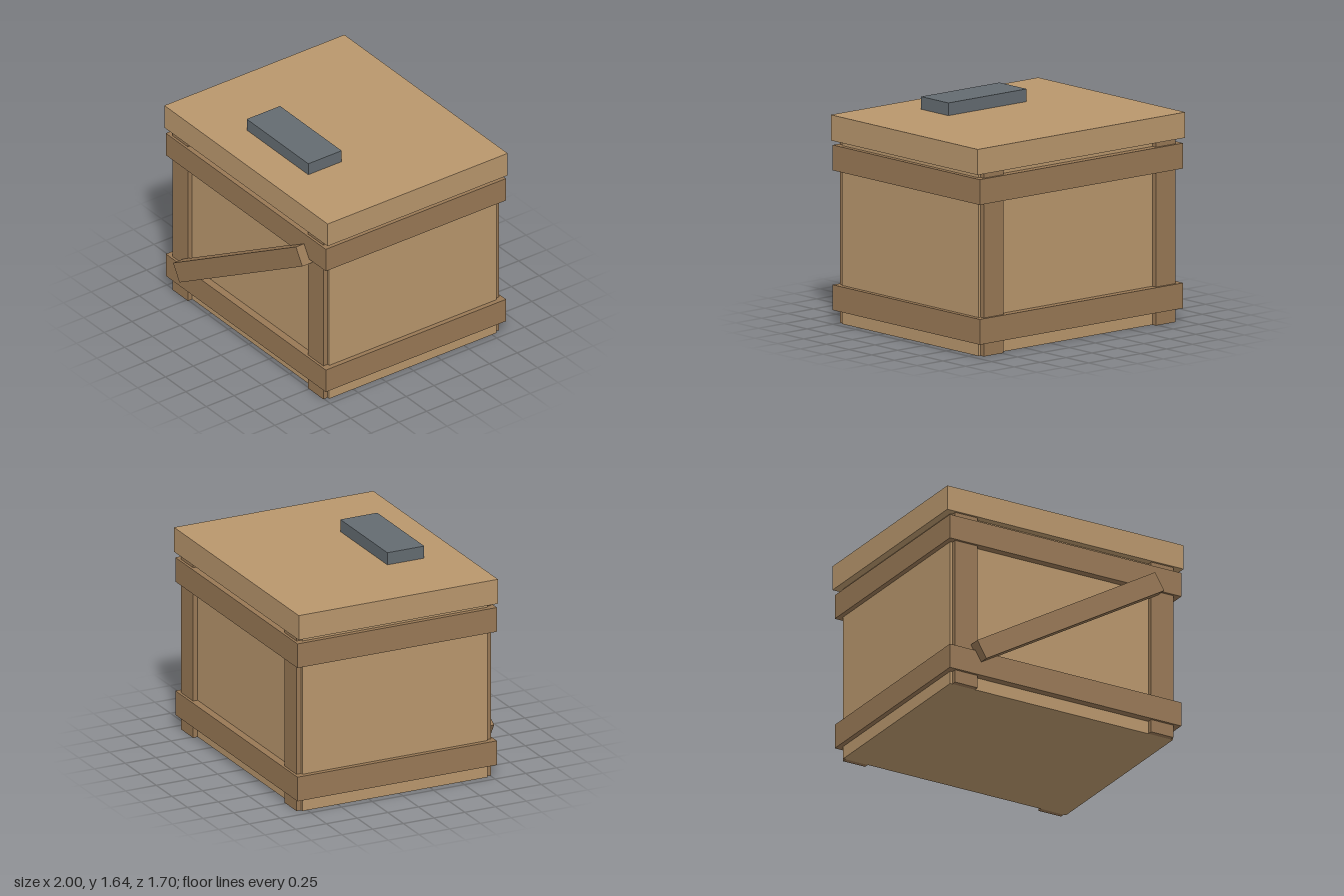
import * as THREE from 'three';

export function createModel() {
  const crate = new THREE.Group();
  crate.name = 'crate';
  const panelWood = new THREE.MeshStandardMaterial({ color: 0xb8966c });
  const frameWood = new THREE.MeshStandardMaterial({ color: 0x987855 });
  const metal = new THREE.MeshStandardMaterial({ color: 0x636b70 });

  // Box given by its lower and upper limits on each axis
  function box(name, material, [x0, x1], [y0, y1], [z0, z1]) {
    const mesh = new THREE.Mesh(new THREE.BoxGeometry(x1 - x0, y1 - y0, z1 - z0), material);
    mesh.position.set((x0 + x1) / 2, (y0 + y1) / 2, (z0 + z1) / 2);
    mesh.name = name;
    crate.add(mesh);
    return mesh;
  }

  // Body, lid and the grey plate on top
  box('body', panelWood, [-0.943, 0.943], [0, 1.36], [-0.79, 0.718]);
  box('lid', panelWood, [-1, 1], [1.36, 1.55], [-0.848, 0.774]);
  box('lidPlate', metal, [-0.377, 0.377], [1.55, 1.644], [0.19, 0.49]);

  // Corner posts on the front and back faces
  for (const [side, x] of [['right', [-0.924, -0.735]], ['left', [0.735, 0.924]]]) {
    box(`${side}FrontPost`, frameWood, x, [0, 1.36], [0.718, 0.757]);
    box(`${side}BackPost`, frameWood, x, [0, 1.36], [-0.828, -0.79]);
  }

  // Bands of four boards around the crate
  for (const [level, y] of [['lower', [0.098, 0.286]], ['upper', [1.135, 1.323]]]) {
    box(`${level}FrontBand`, frameWood, [-0.98, 0.98], y, [0.718, 0.776]);
    box(`${level}BackBand`, frameWood, [-0.98, 0.98], y, [-0.848, -0.79]);
    box(`${level}LeftBand`, frameWood, [0.943, 0.98], y, [-0.79, 0.718]);
    box(`${level}RightBand`, frameWood, [-0.98, -0.943], y, [-0.79, 0.718]);
  }

  // Diagonal brace across the front
  const brace = box('frontBrace', frameWood, [-0.878, 0.878], [0.645, 0.795], [0.755, 0.849]);
  brace.rotation.z = 0.541;

  return crate;
}
